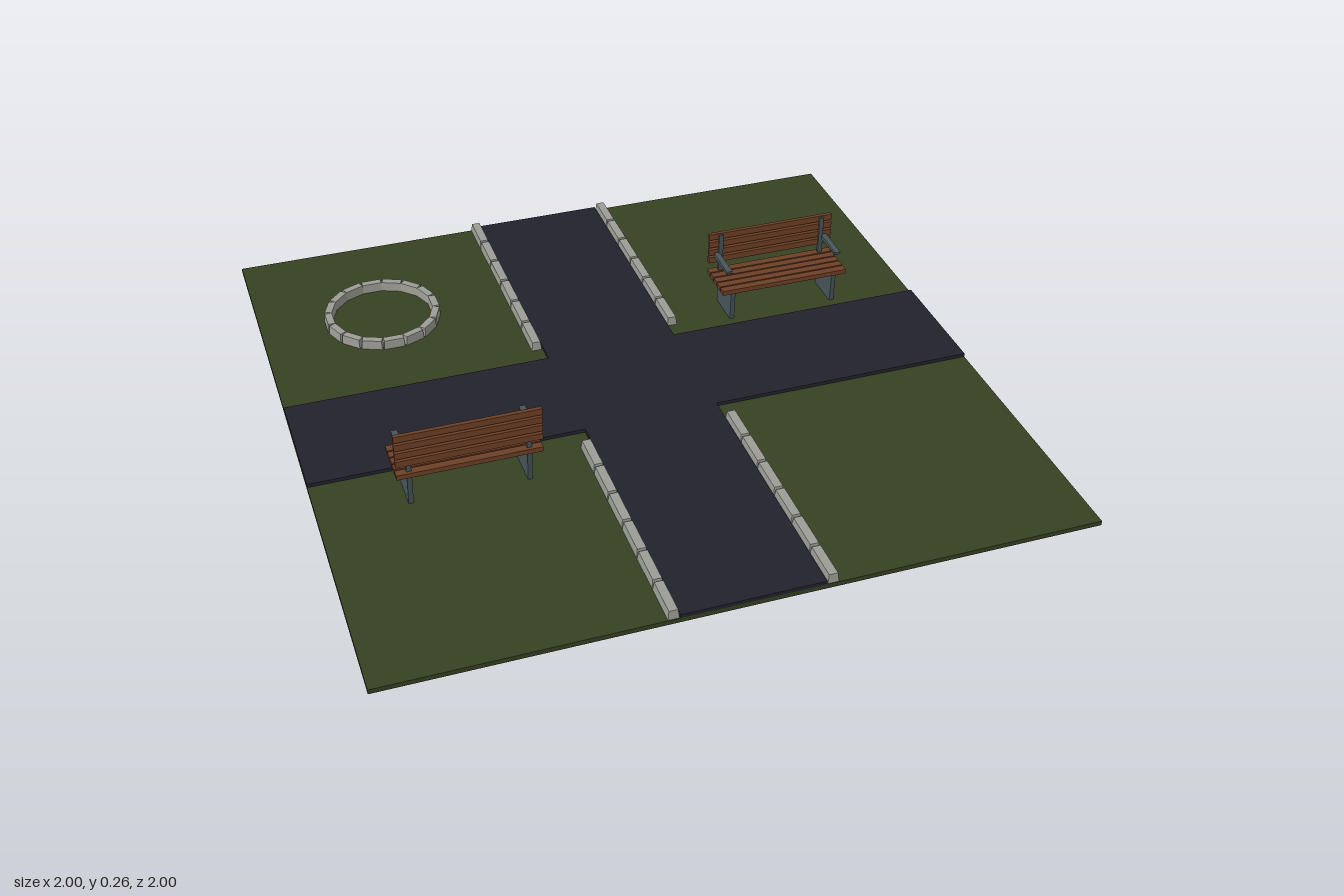
import * as THREE from 'three';

const mat = (name, color) => {
  const m = new THREE.MeshStandardMaterial({ color });
  m.name = name;
  return m;
};

export function createModel() {
  const grass = mat('grass green', 0x364223);
  const asphalt = mat('dark asphalt', 0x22222d);
  const stone = mat('pale stone', 0x9d9d96);
  const wood = mat('brown wood', 0x6e4026);
  const metal = mat('grey metal', 0x46555a);

  const model = new THREE.Group();
  model.name = 'parkCrossing';

  const add = (parent, name, geometry, material, x, y, z) => {
    const mesh = new THREE.Mesh(geometry, material);
    mesh.name = name;
    mesh.position.set(x, y, z);
    parent.add(mesh);
    return mesh;
  };
  const box = (parent, name, material, w, h, d, x, y, z) =>
    add(parent, name, new THREE.BoxGeometry(w, h, d), material, x, y, z);

  // Box whose top is narrower than its base
  const taperedBox = (w, h, d, inset) => {
    const geo = new THREE.BoxGeometry(w, h, d);
    const p = geo.attributes.position;
    for (let i = 0; i < p.count; i++) {
      if (p.getY(i) > 0) {
        p.setX(i, p.getX(i) - Math.sign(p.getX(i)) * inset);
        p.setZ(i, p.getZ(i) - Math.sign(p.getZ(i)) * inset);
      }
    }
    geo.computeVertexNormals();
    return geo;
  };

  // Lawn
  const groundTop = 0.014, roadTop = 0.025;
  box(model, 'lawn', grass, 2, groundTop, 2, 0, groundTop / 2, 0);

  // Cross-shaped road
  const a = 0.2, b = 0.187;
  const cross = new THREE.Shape([
    [-a, -1], [a, -1], [a, -b], [1, -b], [1, b], [a, b],
    [a, 1], [-a, 1], [-a, b], [-1, b], [-1, -b], [-a, -b],
  ].map(([x, y]) => new THREE.Vector2(x, y)));
  const roadGeo = new THREE.ExtrudeGeometry(cross, { depth: roadTop - groundTop, bevelEnabled: false });
  roadGeo.rotateX(-Math.PI / 2);
  add(model, 'road', roadGeo, asphalt, 0, groundTop, 0);

  // Kerb stones along the four arms
  const kerbs = new THREE.Group();
  kerbs.name = 'kerbs';
  model.add(kerbs);
  const kerbGeo = taperedBox(0.031, 0.028, 0.121, 0.003);
  for (const sx of [-1, 1]) {
    for (const sz of [-1, 1]) {
      for (let i = 0; i < 6; i++) {
        add(kerbs, 'kerbStone', kerbGeo, stone, sx * 0.218, groundTop + 0.013, sz * (0.313 + i * 0.125));
      }
    }
  }

  // Ring of stones around the flower bed
  const ring = new THREE.Group();
  ring.name = 'stoneRing';
  ring.position.set(-0.625, 0, -0.578);
  model.add(ring);
  const ringGeo = taperedBox(0.026, 0.03, 0.064, 0.002);
  for (let i = 0; i < 16; i++) {
    const t = (i / 16) * Math.PI * 2;
    const s = add(ring, 'ringStone', ringGeo, stone, Math.cos(t) * 0.164, groundTop + 0.014, Math.sin(t) * 0.164);
    s.rotation.y = -t;
  }

  // Leg panel, a little wider at the top
  const legShape = new THREE.Shape([
    new THREE.Vector2(-0.056, groundTop), new THREE.Vector2(0.058, groundTop),
    new THREE.Vector2(0.063, 0.113), new THREE.Vector2(-0.063, 0.113),
  ]);
  const legGeo = new THREE.ExtrudeGeometry(legShape, { depth: 0.014, bevelEnabled: false });
  legGeo.translate(0, 0, -0.007);
  legGeo.rotateY(-Math.PI / 2);

  // Armrest, thinner toward its tip
  const armShape = new THREE.Shape([
    new THREE.Vector2(-0.058, 0.175), new THREE.Vector2(0.055, 0.178),
    new THREE.Vector2(0.055, 0.186), new THREE.Vector2(-0.058, 0.189),
  ]);
  const armGeo = new THREE.ExtrudeGeometry(armShape, { depth: 0.018, bevelEnabled: false });
  armGeo.translate(0, 0, -0.009);
  armGeo.rotateY(-Math.PI / 2);

  const bench = (x, z, turn) => {
    const g = new THREE.Group();
    g.name = 'bench';
    g.position.set(x, 0, z);
    g.rotation.y = turn;
    model.add(g);
    // Seat and back slats
    for (let i = 0; i < 5; i++) {
      box(g, 'seatSlat', wood, 0.41, 0.015, 0.024, 0, 0.12, -0.058 + i * 0.029);
    }
    for (let i = 0; i < 4; i++) {
      box(g, 'backSlat', wood, 0.41, 0.02, 0.012, 0, 0.164 + i * 0.0275, -0.064);
    }
    // Side frames
    for (const s of [-1, 1]) {
      add(g, 'legPanel', legGeo, metal, s * 0.168, 0, 0);
      box(g, 'backSupport', metal, 0.014, 0.142, 0.009, s * 0.168, 0.181, -0.056);
      add(g, 'armrest', armGeo, metal, s * 0.18, 0, 0);
    }
  };
  bench(0.575, -0.287, 0);
  bench(-0.575, 0.287, Math.PI);

  return model;
}
